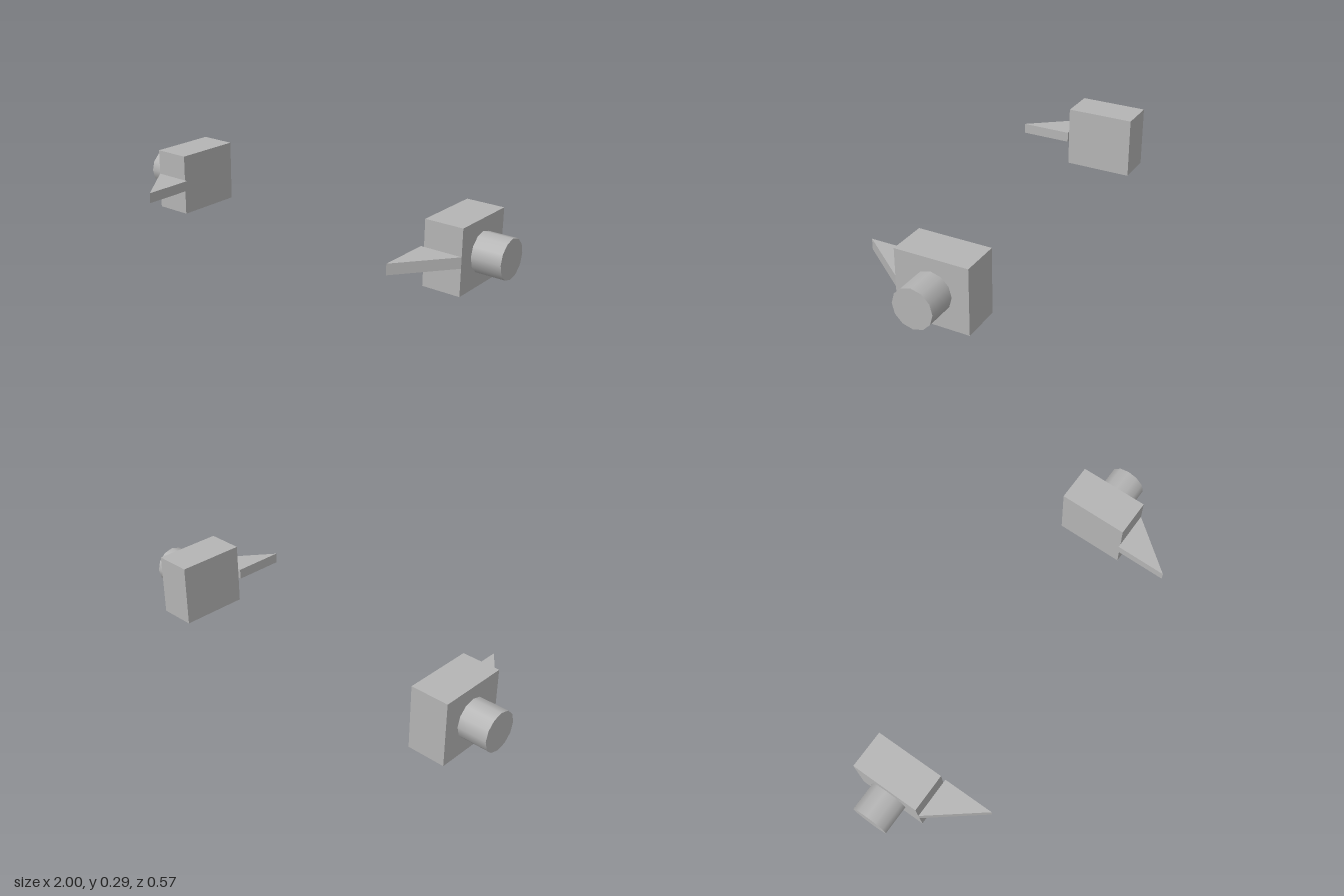
import * as THREE from 'three';

export function createModel() {
  const model = new THREE.Group();
  const grey = new THREE.MeshStandardMaterial({ color: 0xb4b4b4 });
  grey.name = 'grey';

  function add(parent, name, geometry) {
    const mesh = new THREE.Mesh(geometry, grey);
    mesh.name = name;
    parent.add(mesh);
  }

  // One unit per side: s = 1 is the left (+x), s = -1 the right
  function buildUnit(s) {
    const unit = new THREE.Group();
    unit.name = s > 0 ? 'leftUnit' : 'rightUnit';

    // Block body
    add(unit, 'block', new THREE.BoxGeometry(0.176, 0.293, 0.326)
      .translate(s * 0.778, 0.1465, -0.122));

    // Round stub on the outer face
    add(unit, 'stub', new THREE.CylinderGeometry(0.089, 0.089, 0.134, 12)
      .rotateZ(Math.PI / 2)
      .translate(s * 0.933, 0.147, -0.121));

    // Triangular blade pointing forward along the inner side
    const outline = new THREE.Shape([
      new THREE.Vector2(s * 0.866, 0.041),
      new THREE.Vector2(s * 0.675, 0.041),
      new THREE.Vector2(s * 0.675, 0.285),
    ]);
    add(unit, 'blade', new THREE.ExtrudeGeometry(outline, { depth: 0.049, bevelEnabled: false })
      .rotateX(Math.PI / 2)
      .translate(0, 0.172, 0));
    return unit;
  }

  for (const s of [1, -1]) model.add(buildUnit(s));
  return model;
}
